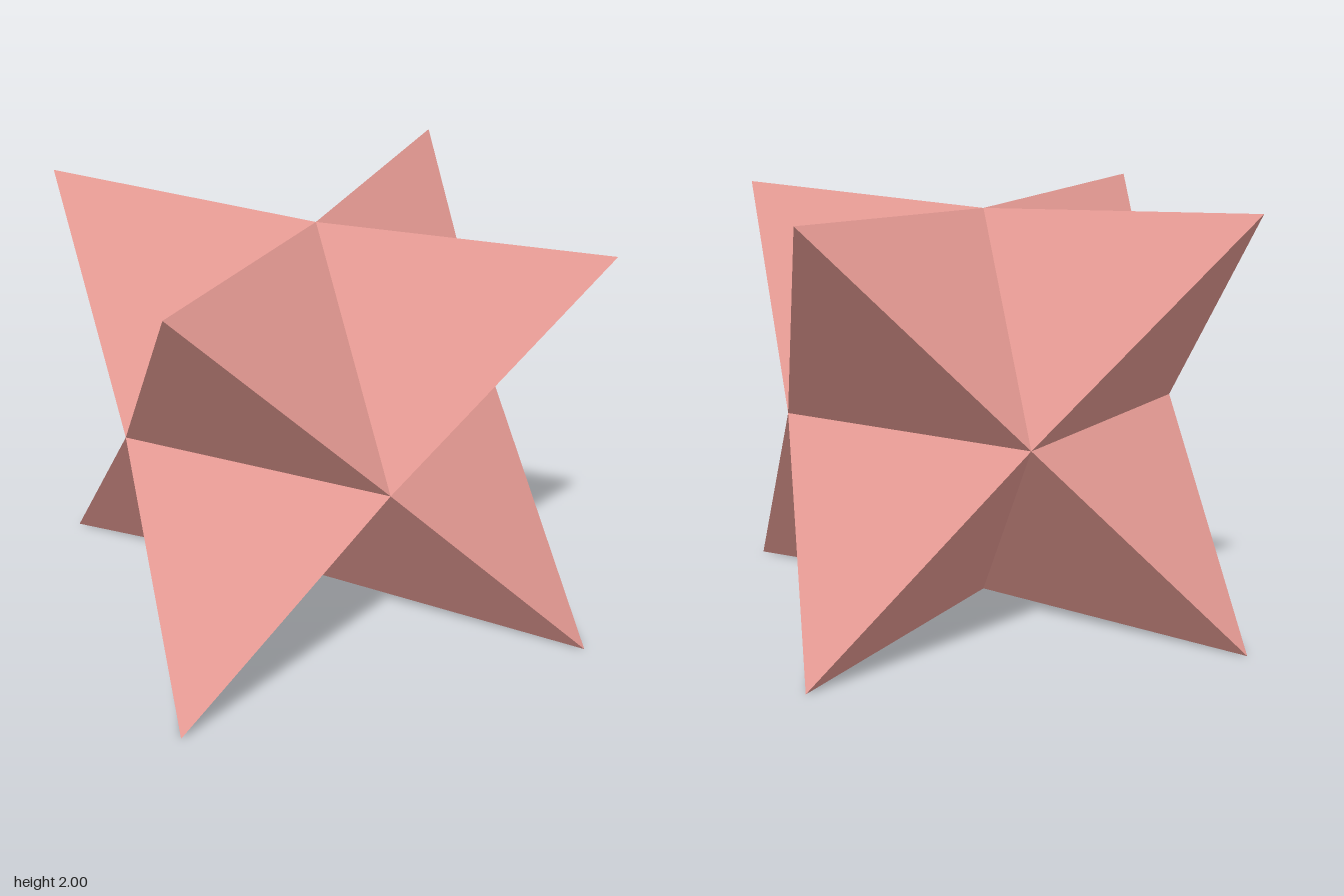
import * as THREE from 'three';

const TIP = 1;        // spike tips lie on the corners of a cube
const VALLEY = 0.944; // the spikes meet at the corners of an octahedron

// Three-sided spike standing on the octahedron face of one octant
function spikeGeometry(sx, sy, sz) {
  const tip = [sx * TIP, sy * TIP, sz * TIP];
  const base = [[sx * VALLEY, 0, 0], [0, sy * VALLEY, 0], [0, 0, sz * VALLEY]];
  if (sx * sy * sz < 0) base.reverse(); // keep mirrored faces outward
  const positions = [];
  for (let i = 0; i < 3; i++) {
    positions.push(...base[i], ...base[(i + 1) % 3], ...tip);
  }
  const geometry = new THREE.BufferGeometry();
  geometry.setAttribute('position', new THREE.Float32BufferAttribute(positions, 3));
  geometry.computeVertexNormals();
  return geometry;
}

export function createModel() {
  const model = new THREE.Group();
  model.name = 'eightPointedStar';
  const material = new THREE.MeshStandardMaterial({ color: 0xe59a93, flatShading: true });

  // One spike per octant, together forming a closed star
  for (const sx of [1, -1]) {
    for (const sy of [1, -1]) {
      for (const sz of [1, -1]) {
        const spike = new THREE.Mesh(spikeGeometry(sx, sy, sz), material);
        spike.name = [
          'spike',
          sy > 0 ? 'Upper' : 'Lower',
          sz > 0 ? 'Front' : 'Back',
          sx > 0 ? 'Left' : 'Right',
        ].join('');
        spike.position.y = TIP;
        model.add(spike);
      }
    }
  }
  return model;
}
